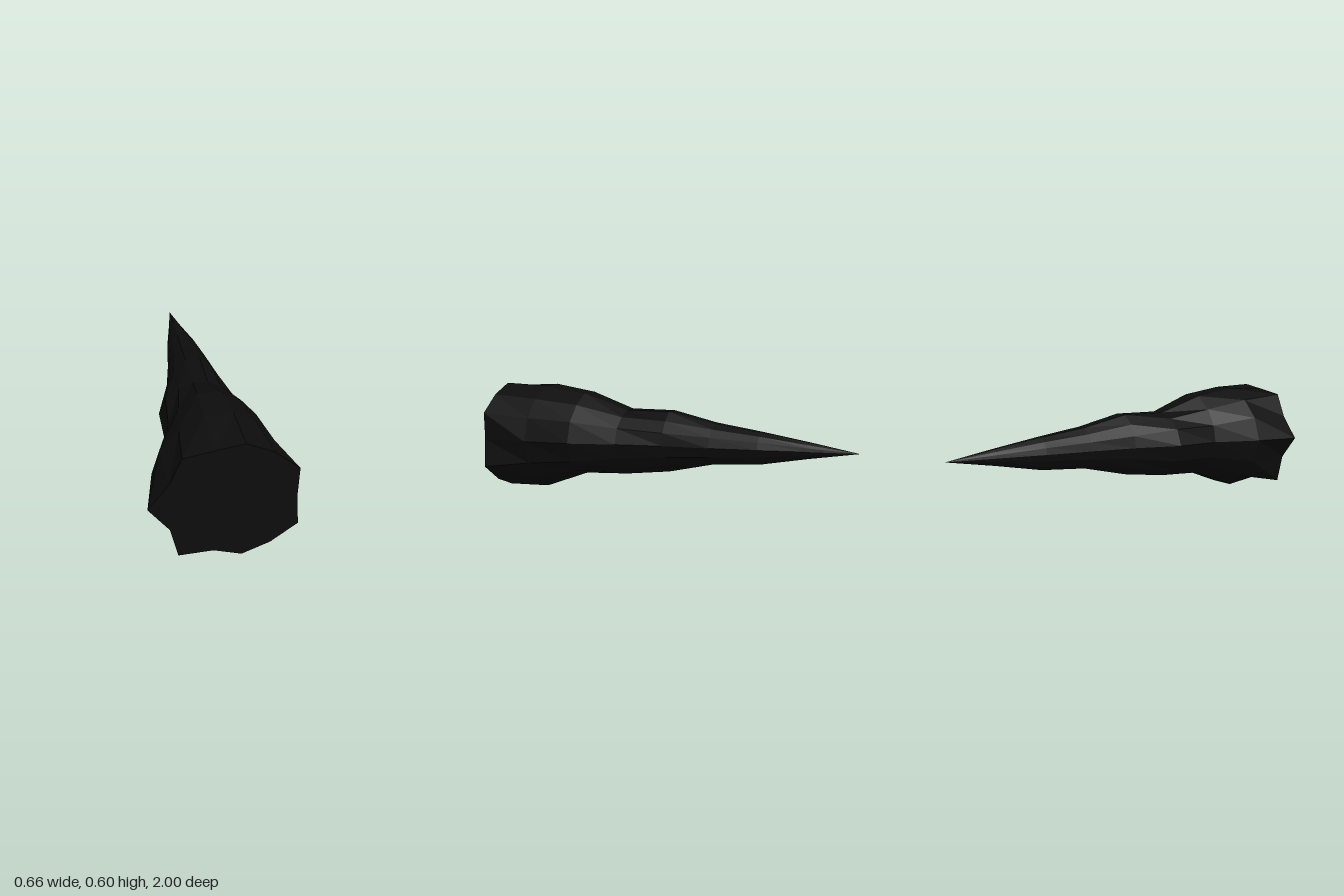
import * as THREE from 'three';

const SIDES = 14, RINGS = 8;

// Radius of each corner of the broad end, counter-clockwise from +x
const baseRadii = [0.304, 0.34, 0.309, 0.304, 0.281, 0.318, 0.281,
  0.346, 0.28, 0.348, 0.27, 0.309, 0.316, 0.353];

// Reach to +x, up, -x and down for the rings between broad end and tip
const reach = [
  [0.297, 0.298, 0.303, 0.303],
  [0.267, 0.262, 0.212, 0.205],
  [0.200, 0.172, 0.213, 0.194],
  [0.152, 0.177, 0.143, 0.164],
  [0.127, 0.120, 0.105, 0.105],
  [0.092, 0.084, 0.078, 0.089],
  [0.042, 0.044, 0.038, 0.042],
];

function radiusAt(ring, angle) {
  if (ring === 0) {
    const k = Math.round(angle / (2 * Math.PI) * SIDES);
    return baseRadii[(k + SIDES) % SIDES];
  }
  if (ring >= RINGS) return 0;
  const [right, up, left, down] = reach[ring - 1];
  const c = Math.cos(angle), s = Math.sin(angle);
  const r = c * c * (c > 0 ? right : left) + s * s * (s > 0 ? up : down);
  return r * (1 - 0.05 * Math.sin(2 * angle) ** 2); // slightly flattened diagonals
}

export function createModel() {
  const group = new THREE.Group();
  group.name = 'spike';

  // Low-poly cone lying along z, tip at the back, with an uneven surface
  const geometry = new THREE.ConeGeometry(1, 2, SIDES, RINGS, false, Math.PI / 2);
  geometry.rotateX(-Math.PI / 2);
  const pos = geometry.attributes.position;
  for (let i = 0; i < pos.count; i++) {
    const x = pos.getX(i), y = pos.getY(i), z = pos.getZ(i);
    const ring = Math.round((1 - z) / 2 * RINGS);
    const angle = Math.atan2(y, x);
    const r = Math.hypot(x, y) < 1e-6 ? 0 : radiusAt(ring, angle);
    pos.setXYZ(i, 0.013 + r * Math.cos(angle), 0.302 + r * Math.sin(angle), z);
  }
  geometry.computeVertexNormals();

  const material = new THREE.MeshStandardMaterial({ color: 0x0d0d0d, flatShading: true });
  const body = new THREE.Mesh(geometry, material);
  body.name = 'spikeBody';
  group.add(body);
  return group;
}
